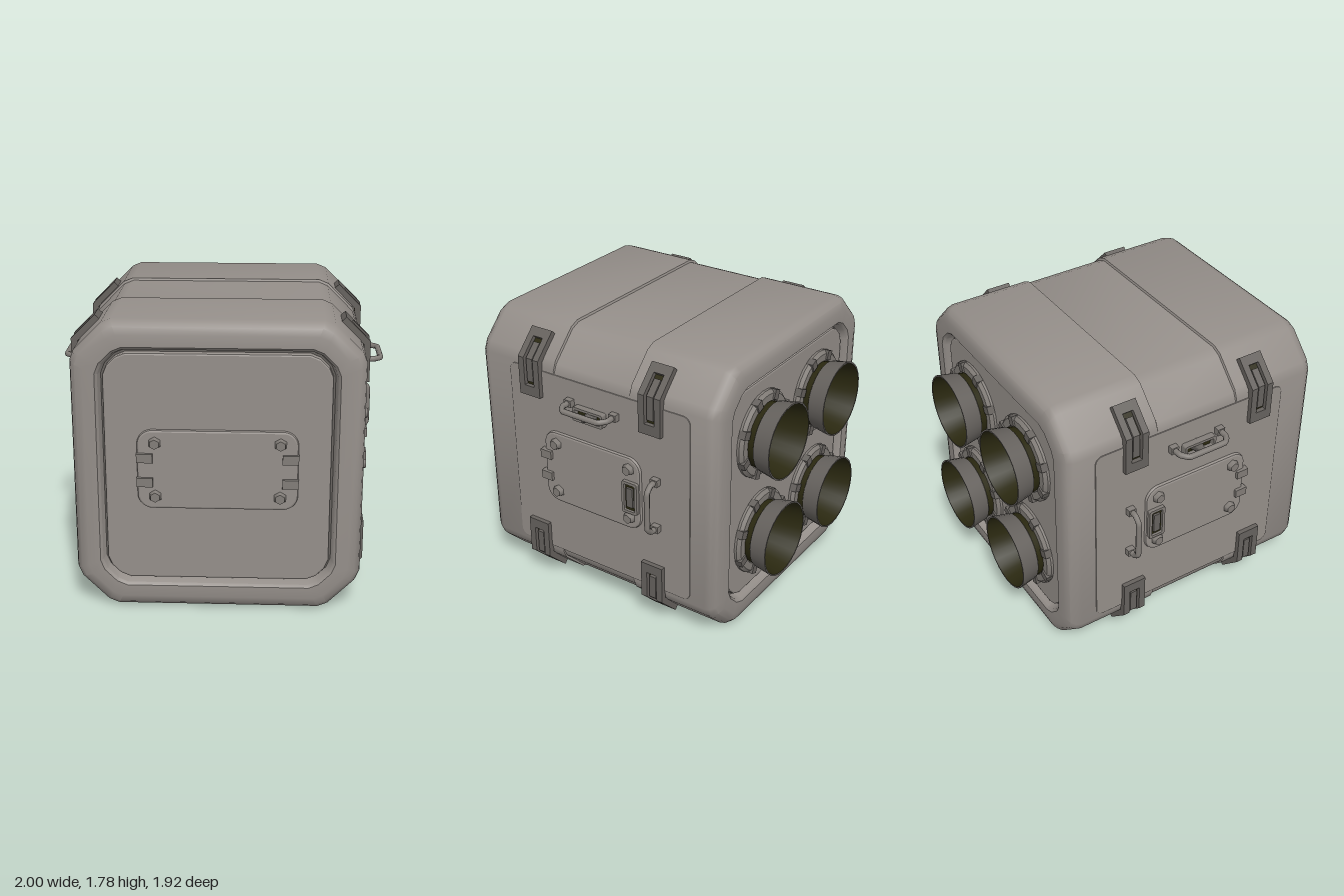
import * as THREE from 'three';
import { toCreasedNormals } from 'three/addons/utils/BufferGeometryUtils.js';

const mat = (name, color) => new THREE.MeshStandardMaterial({ name, color, side: THREE.DoubleSide });
const MID = 0.89; // height of the hull's centre line

export function createModel() {
  const hull = mat('hull grey', 0x958f8a);
  const fitting = mat('fitting grey', 0x827d78);
  const dark = mat('latch grey', 0x66625e);
  const olive = mat('dark olive', 0x2a2810);
  const model = new THREE.Group();
  model.name = 'enginePod';

  const add = (parent, name, geo, material, x = 0, y = 0, z = 0) => {
    const mesh = new THREE.Mesh(geo, material);
    mesh.name = name;
    mesh.position.set(x, y, z);
    parent.add(mesh);
    return mesh;
  };
  const box = (w, h, d) => new THREE.BoxGeometry(w, h, d);

  // Eight-sided section with softened corners: d insets all round, e sinks only top, bottom and chamfers
  const octagon = (d, e = 0) => {
    const w = 0.85 - d, h = MID - d - e, c = 0.21 - 0.586 * d + 0.414 * e;
    const p = [[w, c - h], [w, h - c], [w - c, h], [c - w, h], [-w, h - c], [-w, c - h], [c - w, -h], [w - c, -h]]
      .map(([x, y]) => new THREE.Vector2(x, y));
    return p.flatMap((v, i) => [p[(i + 7) % 8], p[(i + 1) % 8]].map((q) =>
      v.clone().add(q.clone().sub(v).setLength(0.035))));
  };

  // Hull lofted from back recess, round the frame, along the sides, to the front recess
  const stations = [
    [0.18, -0.73], [0.165, -0.785], [0.15, -0.8], [0.08, -0.8], [0.035, -0.785], [0.01, -0.755], [0, -0.72],
    [0, -0.2], [0, -0.195, 0.014], [0, 0.355, 0.014], [0, 0.36],
    [0, 0.87], [0.01, 0.905], [0.035, 0.935], [0.08, 0.95], [0.15, 0.95], [0.165, 0.935], [0.18, 0.87],
  ];
  const verts = [], index = [];
  stations.forEach(([d, z, e], k) => octagon(d, e).forEach((p, i) => {
    verts.push(p.x, p.y, z);
    if (k === stations.length - 1) return;
    const a = k * 16 + i, b = k * 16 + (i + 1) % 16;
    index.push(a, b, a + 16, b, b + 16, a + 16);
  }));
  const loft = new THREE.BufferGeometry();
  loft.setAttribute('position', new THREE.Float32BufferAttribute(verts, 3));
  loft.setIndex(index);
  add(model, 'hull', toCreasedNormals(loft, 0.6), hull, 0, MID, 0);

  // Extruded slab whose front face ends at z = depth
  const slab = (shape, depth, bevel) => new THREE.ExtrudeGeometry(shape, {
    depth: depth - bevel, bevelEnabled: bevel > 0, bevelSize: bevel, bevelThickness: bevel,
    bevelOffset: -bevel, bevelSegments: 2, curveSegments: 20,
  });
  const roundRect = (w, h, r) => {
    const s = new THREE.Shape(), x = w / 2, y = h / 2;
    s.absarc(x - r, y - r, r, 0, Math.PI / 2);
    s.absarc(r - x, y - r, r, Math.PI / 2, Math.PI);
    s.absarc(r - x, r - y, r, Math.PI, Math.PI * 1.5);
    s.absarc(x - r, r - y, r, Math.PI * 1.5, Math.PI * 2);
    return s;
  };
  const frame = (w, h, rim, depth) => {
    const s = roundRect(w, h, 0.012);
    s.holes.push(roundRect(w - 2 * rim, h - 2 * rim, 0.006));
    return slab(s, depth, 0);
  };

  // End panels with a dark gasket around each
  const nozzleSpots = [-1, 1].flatMap((x) => [-1, 1].map((y) => [x * 0.325, y * 0.34]));
  const gasketShape = new THREE.Shape(octagon(0.165));
  gasketShape.holes.push(new THREE.Path(octagon(0.23)));
  const gasket = new THREE.ShapeGeometry(gasketShape);
  add(model, 'frontGasket', gasket, dark, 0, MID, 0.878);
  add(model, 'backGasket', gasket, dark, 0, MID, -0.738).rotation.y = Math.PI;
  add(model, 'frontPanel', slab(new THREE.Shape(octagon(0.19)), 0.05, 0.012), hull, 0, MID, 0.87);
  const backShape = new THREE.Shape(octagon(0.19));
  for (const [x, y] of nozzleSpots) backShape.holes.push(new THREE.Path().absarc(x, y, 0.2, 0, Math.PI * 2, true));
  add(model, 'backPanel', slab(backShape, 0.05, 0.012), hull, 0, MID, -0.72).rotation.y = Math.PI;

  const bolt = new THREE.CylinderGeometry(0.03, 0.042, 0.035, 6).rotateX(Math.PI / 2);
  const addBolts = (parent, xs, ys, z) => xs.forEach((x) => ys.forEach((y) => add(parent, 'bolt', bolt, fitting, x, y, z)));

  // Front access hatch
  const hatch = new THREE.Group();
  hatch.name = 'frontHatch';
  hatch.position.set(0, MID, 0.915);
  model.add(hatch);
  add(hatch, 'hatchPlate', slab(roundRect(0.94, 0.49, 0.09), 0.022, 0.014), hull);
  addBolts(hatch, [-0.365, 0.365], [-0.165, 0.165], 0.032);
  for (const x of [-0.425, 0.425]) for (const y of [-0.075, 0.075])
    add(hatch, 'hinge', box(0.095, 0.055, 0.045), fitting, x, y, 0.018);

  // Bent grab handle, along x, standing out in z
  const handle = (len, reach) => {
    const x = len / 2;
    const pts = [[-x, 0], [-x, reach * 0.65], [-x * 0.75, reach], [x * 0.75, reach], [x, reach * 0.65], [x, 0]]
      .map(([u, v]) => new THREE.Vector3(u, 0, v));
    return new THREE.TubeGeometry(new THREE.CatmullRomCurve3(pts, false, 'catmullrom', 0.12), 40, 0.018, 8);
  };

  // Strip that follows the hull side and folds over the chamfer, between path distances a and b
  const strap = (a, b, thick, width) => {
    const at = (s, t) => s <= 0.23
      ? [0.845 + t, 1.34 + s + (s === 0.23 ? 0.414 * t : 0)]
      : [0.845 + (t - (s - 0.23)) * Math.SQRT1_2, 1.57 + (t + s - 0.23) * Math.SQRT1_2];
    const stops = [a, ...(a < 0.23 && b > 0.23 ? [0.23] : []), b];
    const outline = [...stops.map((s) => at(s, thick)), ...stops.reverse().map((s) => at(s, 0))];
    const shape = new THREE.Shape(outline.map(([x, y]) => new THREE.Vector2(x, y - MID)));
    return new THREE.ExtrudeGeometry(shape, { depth: width, bevelEnabled: false }).translate(0, 0, -width / 2);
  };
  const straps = {
    rail: strap(0, 0.42, 0.04, 0.042), end: strap(0, 0.065, 0.04, 0.08), tip: strap(0.36, 0.42, 0.04, 0.08),
    bed: strap(0.05, 0.38, 0.012, 0.08), lever: strap(0.09, 0.33, 0.03, 0.045),
  };

  // Both sides carry the same fittings, mirrored
  for (const s of [1, -1]) {
    const side = new THREE.Group();
    side.name = s > 0 ? 'leftSide' : 'rightSide';
    side.position.set(s * 0.848, MID, 0);
    side.rotation.y = s * Math.PI / 2;
    model.add(side);
    const u = (z) => -s * z; // hull z to this side's own x axis

    add(side, 'sidePanel', slab(roundRect(1.32, 1.25, 0.05), 0.008, 0.003), hull, u(0.04), 0, 0);
    add(side, 'sideHatch', slab(roundRect(0.72, 0.49, 0.09), 0.024, 0.014), hull, u(0.08), 0, 0.004);
    addBolts(side, [u(0.345), u(-0.2)], [-0.165, 0.17], 0.04);
    for (const y of [-0.07, 0.08]) add(side, 'hinge', box(0.08, 0.055, 0.045), fitting, u(0.42), y, 0.025);
    add(side, 'hatchLatchFrame', frame(0.11, 0.215, 0.018, 0.05), fitting, u(-0.215), -0.015, 0);
    add(side, 'hatchLatchBed', box(0.08, 0.185, 0.008), olive, u(-0.215), -0.015, 0.03);
    add(side, 'hatchLatchLever', box(0.045, 0.13, 0.02), dark, u(-0.215), -0.015, 0.038);

    // Upright handle behind the hatch
    add(side, 'uprightHandle', handle(0.32, 0.11), fitting, u(-0.39), -0.015, 0).rotation.z = Math.PI / 2;
    for (const y of [-0.175, 0.145]) add(side, 'handleFoot', box(0.05, 0.045, 0.05), fitting, u(-0.39), y, 0.02);

    // Level handle with a framed catch beneath it
    add(side, 'levelHandle', handle(0.33, 0.134), fitting, u(0.065), 0.485, 0);
    for (const z of [-0.1, 0.23]) add(side, 'handleFoot', box(0.05, 0.045, 0.05), fitting, u(z), 0.485, 0.02);
    add(side, 'catchFrame', frame(0.22, 0.09, 0.016, 0.05), fitting, u(0.08), 0.435, 0);
    add(side, 'catchBed', box(0.19, 0.06, 0.008), olive, u(0.08), 0.435, 0.01);
    add(side, 'catch', new THREE.CylinderGeometry(0.01, 0.045, 0.1, 6).rotateX(Math.PI / 2), dark, u(0.07), 0.44, 0.055);

    // Folded latches over the upper and lower chamfers
    for (const v of [1, -1]) for (const z of [0.525, -0.36]) {
      const latch = new THREE.Group();
      latch.name = 'chamferLatch';
      latch.position.set(0, MID, z);
      // half turns place the same latch on any of the four chamfers
      if (s < 0 && v < 0) latch.rotation.z = Math.PI;
      else if (s < 0) latch.rotation.y = Math.PI;
      else if (v < 0) latch.rotation.x = Math.PI;
      model.add(latch);
      for (const e of [-0.056, 0.056]) add(latch, 'latchRail', straps.rail, dark, 0, 0, e);
      add(latch, 'latchEnd', straps.end, dark);
      add(latch, 'latchTip', straps.tip, dark);
      add(latch, 'latchBed', straps.bed, olive);
      add(latch, 'latchLever', straps.lever, dark);
    }
  }

  // Four nozzles at the back; profile heights run outward from z = -0.7
  const lathe = (pts) => toCreasedNormals(
    new THREE.LatheGeometry(pts.map(([r, y]) => new THREE.Vector2(r, y)), 28).rotateX(-Math.PI / 2), 0.5);
  const flange = lathe([[0.275, 0.05], [0.275, 0.085], [0.255, 0.105], [0.21, 0.105], [0.2, 0.06]]);
  const neck = lathe([[0.195, 0.04], [0.21, 0.14]]);
  const bell = lathe([[0.21, 0.14], [0.218, 0.145], [0.24, 0.26], [0.23, 0.26]]);
  const throat = lathe([[0.23, 0.26], [0.19, 0.05], [0.18, -0.1], [0, -0.1]]);
  const injector = lathe([[0.11, -0.1], [0.11, -0.04], [0.085, -0.02], [0.06, -0.04], [0.05, -0.09], [0, -0.09]]);
  for (const [x, y] of nozzleSpots) {
    const nozzle = new THREE.Group();
    nozzle.name = 'nozzle';
    nozzle.position.set(x, MID + y, -0.7);
    model.add(nozzle);
    add(nozzle, 'flange', flange, fitting);
    add(nozzle, 'neck', neck, olive);
    add(nozzle, 'bell', bell, dark);
    add(nozzle, 'throat', throat, olive);
    add(nozzle, 'injector', injector, dark);
    for (let i = 0; i < 8; i++) {
      const a = (i + 0.5) * Math.PI / 4;
      add(nozzle, 'clamp', box(0.06, 0.05, 0.06), dark, Math.cos(a) * 0.245, Math.sin(a) * 0.245, -0.085).rotation.z = a;
    }
  }
  return model;
}
